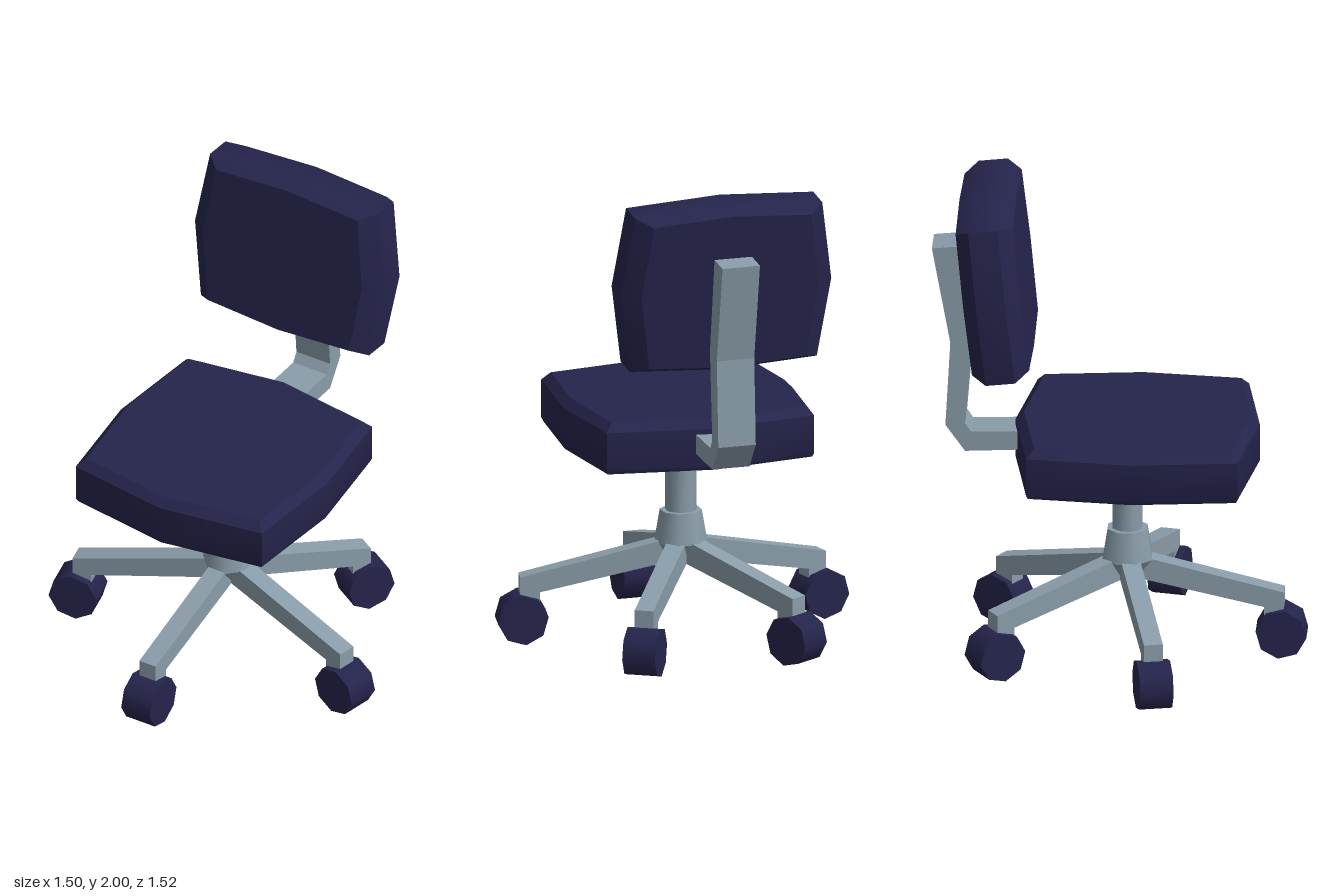
import * as THREE from 'three';
import { toCreasedNormals } from 'three/addons/utils/BufferGeometryUtils.js';

const fabric = new THREE.MeshStandardMaterial({ color: 0x25244c });
fabric.name = 'navy fabric';
const metal = new THREE.MeshStandardMaterial({ color: 0x8a9daa });
metal.name = 'blue grey metal';

function part(name, geometry, material, x = 0, y = 0, z = 0) {
  const mesh = new THREE.Mesh(geometry, material);
  mesh.name = name;
  mesh.position.set(x, y, z);
  return mesh;
}

// Cushion: an outline in (x, z) lofted through layers of [height, scaleX, scaleZ]
function cushion(outline, layers) {
  const n = outline.length, pos = [], index = [];
  for (const [y, sx, sz] of layers) for (const [x, z] of outline) pos.push(x * sx, y, z * sz);
  for (let l = 0; l < layers.length - 1; l++) {
    for (let i = 0; i < n; i++) {
      const a = l * n + i, b = l * n + (i + 1) % n;
      index.push(a, b, b + n, a, b + n, a + n);
    }
  }
  const last = (layers.length - 1) * n, bottom = layers.length * n, top = bottom + 1;
  pos.push(0, layers[0][0], 0, 0, layers[layers.length - 1][0], 0);
  for (let i = 0; i < n; i++) {
    const j = (i + 1) % n;
    index.push(bottom, j, i, top, last + i, last + j);
  }
  const g = new THREE.BufferGeometry();
  g.setAttribute('position', new THREE.Float32BufferAttribute(pos, 3));
  g.setIndex(index);
  return toCreasedNormals(g, 0.5);
}

// Eight-point outline with corners pulled in and bowed sides, running from +z round to +x
function bowedOutline(midX, midZ, cornerX, cornerZ) {
  return [[0, midZ], [cornerX, cornerZ], [midX, 0], [cornerX, -cornerZ],
    [0, -midZ], [-cornerX, -cornerZ], [-midX, 0], [-cornerX, cornerZ]];
}

// Bar: a side profile in (z, y) given a width across x
function bar(profile, width) {
  const shape = new THREE.Shape(profile.map(([z, y]) => new THREE.Vector2(z, y)));
  const g = new THREE.ExtrudeGeometry(shape, { depth: width, bevelEnabled: false });
  g.translate(0, 0, -width / 2);
  g.rotateY(-Math.PI / 2);
  return g;
}

function tube(rTop, rBottom, y0, y1, sides) {
  const g = new THREE.CylinderGeometry(rTop, rBottom, y1 - y0, sides);
  g.rotateY(Math.PI / sides);
  g.translate(0, (y0 + y1) / 2, 0);
  return g;
}

export function createModel() {
  const chair = new THREE.Group();
  chair.name = 'officeChair';
  const hubZ = 0.037;

  // Seat cushion, chamfered round the top
  chair.add(part('seat', cushion(bowedOutline(0.49, 0.497, 0.443, 0.43),
    [[0.825, 0.985, 0.985], [0.84, 1, 1], [1.0, 1, 1], [1.035, 0.93, 0.93]]), fabric, 0, 0, 0.078));

  // Backrest, lofted front to back and leaning backwards
  const back = part('backrest', cushion(bowedOutline(0.45, 0.358, 0.4, 0.335),
    [[-0.117, 0.84, 0.92], [-0.06, 1, 1], [0.06, 1, 1], [0.117, 0.84, 0.92]]), fabric, 0, 1.64, -0.495);
  back.rotation.x = Math.PI / 2 - 0.108;
  chair.add(back);

  // Bent bar joining the seat to the backrest
  chair.add(part('backSupport', bar([[-0.36, 0.9], [-0.42, 0.897], [-0.62, 0.888], [-0.7, 1.0],
    [-0.68, 1.36], [-0.755, 1.77], [-0.65, 1.78], [-0.59, 1.38], [-0.62, 1.01], [-0.595, 0.972],
    [-0.42, 0.978], [-0.36, 0.978]], 0.16), metal));

  // Seat plate, column and hub
  chair.add(part('seatPlate', tube(0.276, 0.276, 0.775, 0.83, 8), metal, 0, 0, 0.067));
  chair.add(part('column', toCreasedNormals(tube(0.064, 0.064, 0.5, 0.78, 8), 0.9), metal, 0, 0, hubZ));
  chair.add(part('hub', tube(0.086, 0.108, 0.41, 0.54, 8), metal, 0, 0, hubZ));
  chair.add(part('hubBase', tube(0.108, 0.06, 0.335, 0.41, 8), metal, 0, 0, hubZ));

  // Five legs, each ending in a caster
  const casters = [[0, 0.665], [0.635, 0.175], [-0.635, 0.175], [0.325, -0.485], [-0.325, -0.485]];
  for (const [x, z] of casters) {
    const dz = z - hubZ, r = Math.hypot(x, dz);
    const leg = new THREE.Group();
    leg.name = 'leg';
    leg.position.z = hubZ;
    leg.rotation.y = Math.atan2(x, dz);
    leg.add(part('legArm', bar([[0, 0.42], [0.09, 0.417], [r + 0.01, 0.28], [r + 0.01, 0.16],
      [r - 0.07, 0.16], [r - 0.07, 0.215], [0.03, 0.335], [0, 0.335]], 0.078), metal));
    const wheel = new THREE.CylinderGeometry(0.104, 0.104, 0.137, 8);
    wheel.rotateZ(Math.PI / 2);
    wheel.rotateX(0.12);
    leg.add(part('caster', wheel, fabric, 0, 0.105, r));
    chair.add(leg);
  }
  return chair;
}
